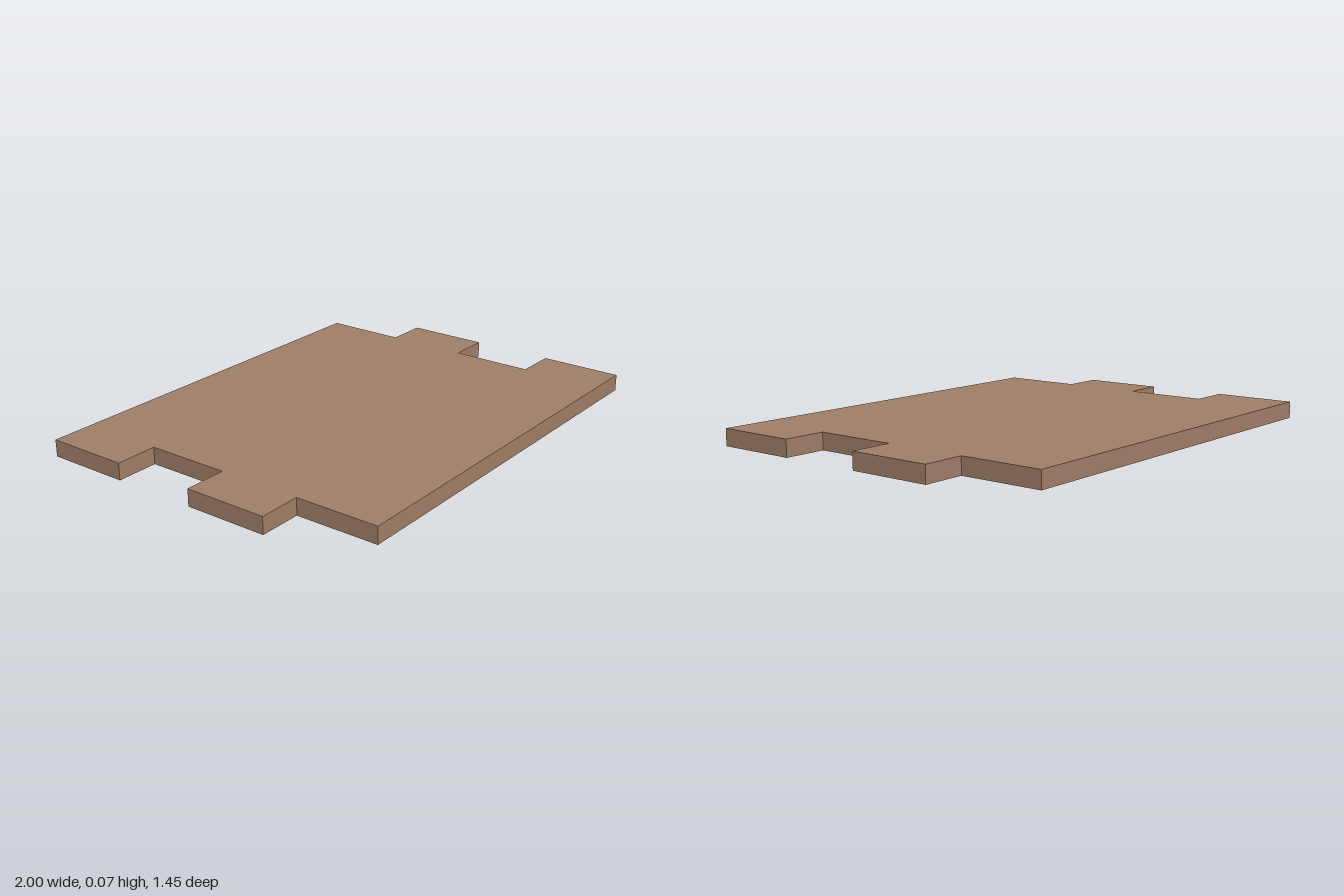
import * as THREE from 'three';

export function createModel() {
  const group = new THREE.Group();
  group.name = 'notchedBoard';

  const wood = new THREE.MeshStandardMaterial({ color: 0xa07e67 });
  wood.name = 'brown wood';

  const thickness = 0.073;
  const edge = 0.815;   // inner end of the finger joints
  const depth = 0.725;  // half depth
  const step = depth / 2;

  // Half of the outline as (x, z); the other half is its half-turn copy.
  const half = [
    [-1, -depth], [edge, -depth], [edge, -step], [1, -step],
    [1, 0], [edge, 0], [edge, step], [1, step],
  ];
  const outline = [...half, ...half.map(([x, z]) => [-x, -z])];

  // Flat board with alternating finger joints on both short sides.
  const shape = new THREE.Shape(outline.map(([x, z]) => new THREE.Vector2(x, -z)));
  const geometry = new THREE.ExtrudeGeometry(shape, { depth: thickness, bevelEnabled: false });
  geometry.rotateX(-Math.PI / 2);

  const board = new THREE.Mesh(geometry, wood);
  board.name = 'board';
  group.add(board);
  return group;
}
